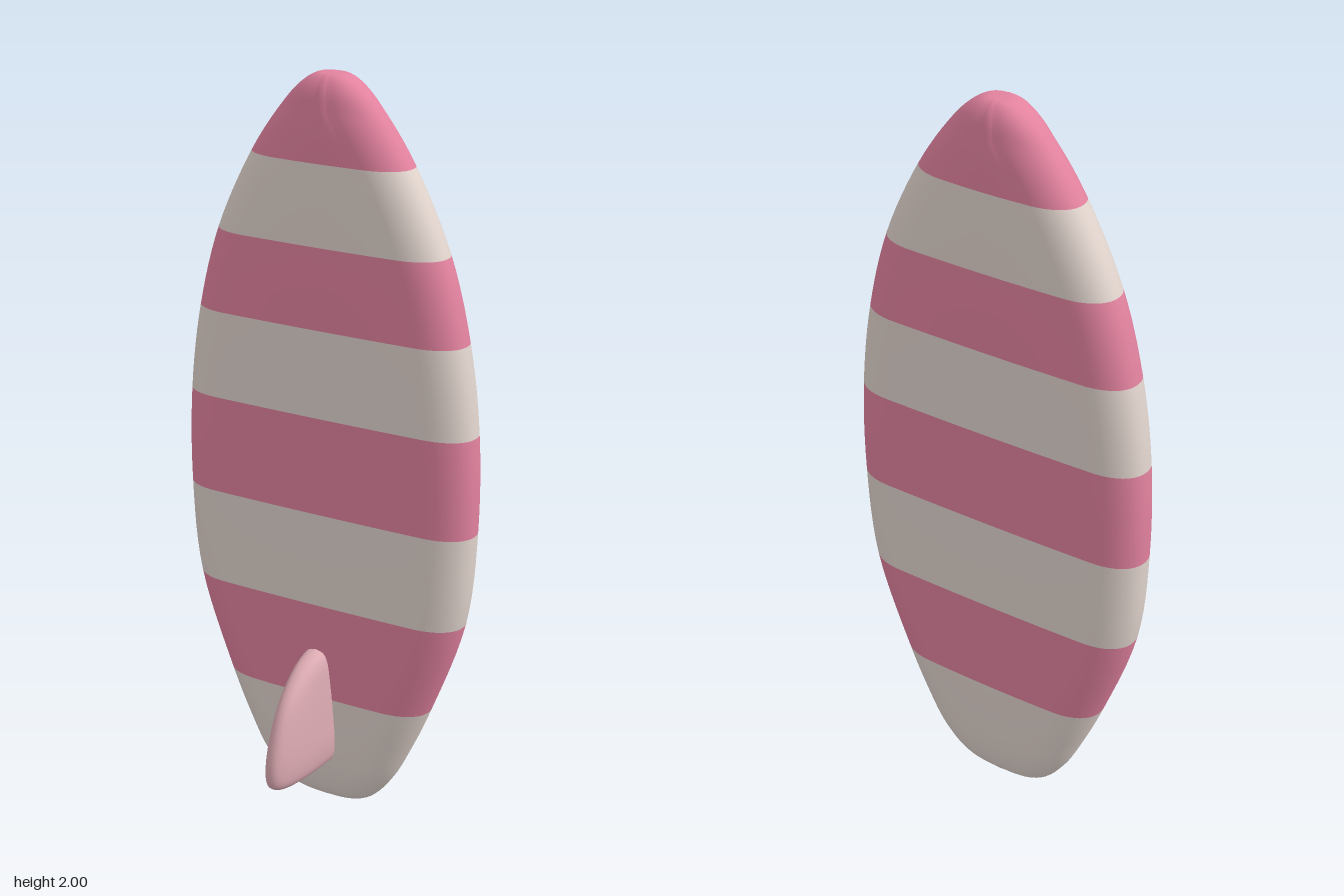
import * as THREE from 'three';

const STEPS = 6; // rows between two control points

// Skins horizontal cross-sections along a curve of [halfWidth, y, halfDepth] points.
// ring(w, d) returns [x, z] pairs running from +x towards +z; bands gives a material index per span.
function loft(points, ring, closed, bands) {
  const curve = new THREE.CatmullRomCurve3(points.map((p) => new THREE.Vector3(...p)));
  const rows = (points.length - 1) * STEPS;
  const position = [];
  const index = [];
  let n = 0;
  for (let j = 0; j <= rows; j++) {
    const p = curve.getPoint(j / rows);
    const section = ring(Math.max(p.x, 0), Math.max(p.z, 0));
    n = section.length;
    section.forEach(([x, z]) => position.push(x, p.y, z));
  }
  const columns = closed ? n : n - 1;
  for (let j = 0; j < rows; j++) {
    for (let i = 0; i < columns; i++) {
      const a = j * n + i;
      const b = j * n + ((i + 1) % n);
      index.push(a, a + n, b, b, a + n, b + n);
    }
  }
  const geometry = new THREE.BufferGeometry();
  geometry.setAttribute('position', new THREE.Float32BufferAttribute(position, 3));
  geometry.setIndex(index);
  geometry.computeVertexNormals();
  const span = columns * 6 * STEPS;
  if (bands) bands.forEach((m, s) => geometry.addGroup(s * span, span, m));
  return geometry;
}

// Flat, slightly domed slab with round rails
function boardRing(w, t) {
  const rail = Math.min(w * 0.85, 0.12);
  const half = [];
  for (let i = 0; i <= 10; i++) {
    const a = (i / 10) * Math.PI / 2;
    half.push([w - rail + rail * Math.cos(a) ** 0.9, 0.96 * t * Math.sin(a) ** 0.9]);
  }
  for (let i = 1; i <= 5; i++) {
    const f = 1 - i / 5;
    half.push([(w - rail) * f, t * (1 - 0.04 * f * f)]);
  }
  const front = [...half, ...half.slice(0, -1).reverse().map(([x, z]) => [-x, z])];
  const back = front.slice(1, -1).reverse().map(([x, z]) => [x, -z]);
  return [...front, ...back];
}

// Rounded blade, open where it sinks into the board
function finRing(w, d) {
  const ring = [];
  for (let i = 0; i <= 28; i++) {
    const a = (i / 28) * Math.PI;
    const c = Math.cos(a);
    ring.push([w * Math.sign(c) * Math.abs(c) ** 0.85, d * Math.abs(Math.sin(a)) ** 0.85]);
  }
  return ring;
}

export function createModel() {
  const pink = new THREE.MeshStandardMaterial({ color: 0xe2829f });
  pink.name = 'pink stripe';
  const cream = new THREE.MeshStandardMaterial({ color: 0xe2d5ce });
  cream.name = 'cream';
  const rose = new THREE.MeshStandardMaterial({ color: 0xdcaab2, side: THREE.DoubleSide });
  rose.name = 'pale rose';

  const group = new THREE.Group();
  group.name = 'surfboard';

  // Board: half width, height, half thickness; stripe edges fall on control points
  const outline = [
    [0, 0, 0], [0.07, 0.002, 0.015], [0.135, 0.03, 0.044], [0.195, 0.1, 0.064],
    [0.247, 0.2, 0.073], [0.303, 0.33, 0.078], [0.396, 0.6, 0.082], [0.422, 0.86, 0.083],
    [0.418, 1.125, 0.083], [0.386, 1.36, 0.083], [0.327, 1.575, 0.082], [0.226, 1.785, 0.077],
    [0.148, 1.9, 0.069], [0.09, 1.965, 0.056], [0.045, 1.995, 0.034], [0, 2, 0],
  ];
  const bands = [0, 0, 0, 0, 0, 1, 0, 1, 0, 1, 0, 1, 1, 1, 1];
  const board = new THREE.Mesh(loft(outline, boardRing, true, bands), [cream, pink]);
  board.name = 'board';
  board.position.z = -0.114;
  group.add(board);

  // Fin: half width, height, reach out from inside the board
  const root = -0.07;
  const blade = [
    [0, 0.137, 0.19], [0.032, 0.14, 0.225], [0.05, 0.16, 0.262], [0.056, 0.205, 0.268],
    [0.052, 0.3, 0.243], [0.045, 0.38, 0.198], [0.037, 0.44, 0.128], [0.024, 0.465, 0.07],
    [0, 0.472, 0.035],
  ];
  const fin = new THREE.Mesh(loft(blade, finRing, false), rose);
  fin.name = 'fin';
  fin.position.z = root;
  group.add(fin);

  return group;
}
